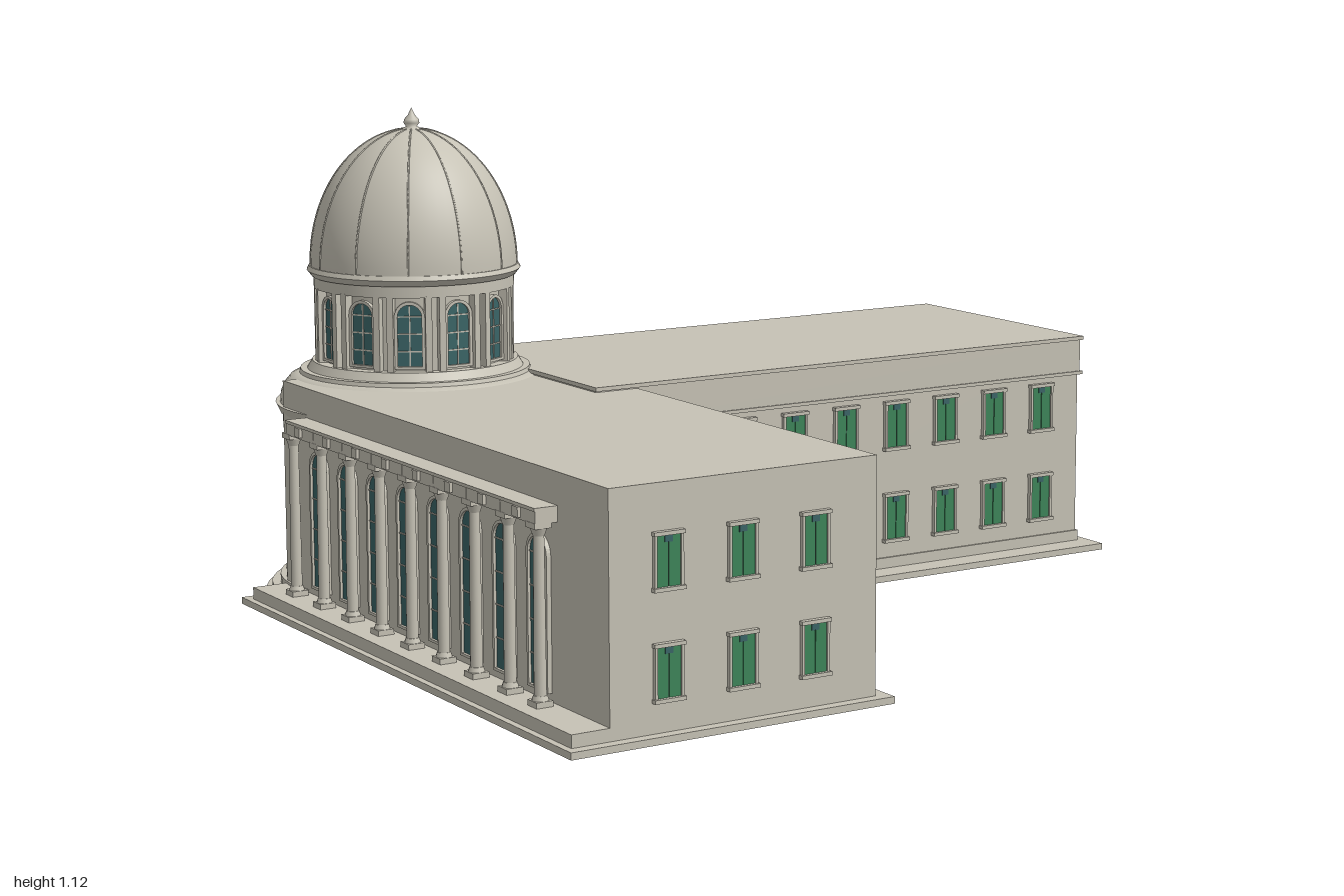
import * as THREE from 'three';

const mat = (name, color) => new THREE.MeshStandardMaterial({ name, color });

export function createModel() {
  const stone = mat('stone', 0xc6c2b5);
  const glass = mat('teal glass', 0x3a6466);
  const green = mat('green shutter', 0x3d8459);
  const dark = mat('dark vent', 0x3b4444);
  const model = new THREE.Group();
  model.name = 'domedCornerBuilding';

  const add = (parent, name, geo, m = stone, x = 0, y = 0, z = 0) => {
    const mesh = new THREE.Mesh(geo, m);
    mesh.name = name;
    mesh.position.set(x, y, z);
    parent.add(mesh);
    return mesh;
  };
  // Box given by its limits on each axis
  const block = (parent, name, x0, x1, y0, y1, z0, z1, m = stone) =>
    add(parent, name, new THREE.BoxGeometry(x1 - x0, y1 - y0, z1 - z0), m,
      (x0 + x1) / 2, (y0 + y1) / 2, (z0 + z1) / 2);
  const place = (obj, x, y, z, angle, parent = model) => {
    obj.position.set(x, y, z);
    obj.rotation.y = angle;
    parent.add(obj);
  };

  // Outline of a round-headed opening standing on y = 0
  const arch = (path, w, h) => {
    const r = w / 2;
    path.moveTo(-r, 0);
    path.lineTo(r, 0);
    path.lineTo(r, h - r);
    path.absarc(0, h - r, r, 0, Math.PI, false);
    path.lineTo(-r, 0);
    return path;
  };
  const extrude = (shape, depth) =>
    new THREE.ExtrudeGeometry(shape, { depth, bevelEnabled: false, curveSegments: 8 });

  // Arched window facing +z
  const archedWindow = (w, h, bars) => {
    const g = new THREE.Group();
    g.name = 'archedWindow';
    const f = 0.007;
    add(g, 'pane', extrude(arch(new THREE.Shape(), w, h), 0.005), glass);
    const frame = arch(new THREE.Shape(), w + 2 * f, h + f);
    const hole = new THREE.Path();
    const r = w / 2;
    hole.moveTo(-r, 0.006);
    hole.lineTo(r, 0.006);
    hole.lineTo(r, h - r);
    hole.absarc(0, h - r, r, 0, Math.PI, false);
    hole.lineTo(-r, 0.006);
    frame.holes.push(hole);
    add(g, 'frame', extrude(frame, 0.011), stone);
    block(g, 'mullion', -0.0015, 0.0015, 0, h - 0.003, 0, 0.007);
    for (let i = 1; i <= bars; i++) {
      const y = (h - r) * i / bars;
      block(g, 'glazingBar', -r, r, y - 0.0015, y + 0.0015, 0, 0.007);
    }
    return g;
  };

  // Shuttered rectangular window facing +z, with sill and lintel
  const shutteredWindow = () => {
    const g = new THREE.Group();
    g.name = 'shutteredWindow';
    for (const s of [-1, 1]) {
      block(g, 'shutter', s * 0.014 - 0.013, s * 0.014 + 0.013, 0, 0.105, 0, 0.006, green);
      block(g, 'jamb', s * 0.03 - 0.003, s * 0.03 + 0.003, 0, 0.105, 0, 0.01);
    }
    block(g, 'gap', -0.002, 0.002, 0, 0.105, 0, 0.004, dark);
    block(g, 'transom', -0.009, 0.009, 0.088, 0.101, 0, 0.008, glass);
    block(g, 'sill', -0.036, 0.036, -0.008, 0, 0, 0.014);
    block(g, 'lintel', -0.035, 0.035, 0.102, 0.11, 0, 0.013);
    return g;
  };

  // Column with square base and capital
  const column = (h, r) => {
    const g = new THREE.Group();
    g.name = 'column';
    const c = r * 1.45;
    block(g, 'base', -c, c, 0, 0.012, -c, c);
    add(g, 'baseRing', new THREE.CylinderGeometry(r * 1.1, r * 1.35, 0.01, 14), stone, 0, 0.017);
    add(g, 'shaft', new THREE.CylinderGeometry(r * 0.85, r, h - 0.02, 14), stone, 0, h / 2);
    add(g, 'capitalBell', new THREE.CylinderGeometry(r * 1.35, r * 0.9, 0.016, 14), stone, 0, h - 0.02);
    block(g, 'capital', -c, c, h - 0.012, h, -c, c);
    return g;
  };

  // Ground slabs
  block(model, 'westGroundSlab', -1, -0.25, 0, 0.015, -0.62, 0.89);
  block(model, 'eastGroundSlab', -0.4, 1, 0, 0.015, -0.8, 0);

  // Front wing
  block(model, 'westWing', -0.9, -0.28, 0.01, 0.51, -0.59, 0.865);
  block(model, 'westPodium', -0.985, -0.9, 0.01, 0.042, -0.59, 0.865);

  // Side wing with base course, attic band and roof edge
  block(model, 'eastWing', -0.385, 0.97, 0.01, 0.515, -0.705, -0.07);
  block(model, 'baseCourse', -0.28, 0.975, 0.01, 0.04, -0.71, -0.065);
  block(model, 'eastPodium', -0.36, 0.98, 0.01, 0.042, -0.79, -0.7);
  block(model, 'atticBand', -0.387, 0.974, 0.43, 0.515, -0.708, -0.066);
  block(model, 'atticMoulding', -0.38, 0.98, 0.428, 0.436, -0.712, -0.062);
  block(model, 'eastRoof', -0.39, 0.98, 0.513, 0.522, -0.712, -0.06);

  // Two rows of shuttered windows
  for (const y of [0.085, 0.305]) {
    for (let i = 0; i < 8; i++) place(shutteredWindow(), -0.145 + i * 0.143, y, -0.07, 0);
    for (const x of [-0.77, -0.6, -0.43]) place(shutteredWindow(), x, y, 0.864, 0);
  }

  // Back colonnade of the side wing
  const bay = 1.18 / 9;
  for (let i = 0; i <= 9; i++) {
    const x = -0.205 + i * bay;
    place(column(0.37, 0.013), Math.min(x, 0.95), 0.042, -0.732, 0);
    if (i === 9) break;
    const mid = x + bay / 2;
    place(archedWindow(0.068, 0.31, 4), mid, 0.06, -0.704, Math.PI);
    block(model, 'ventFrame', mid - 0.034, mid + 0.034, 0.458, 0.492, -0.714, -0.7);
    block(model, 'vent', mid - 0.028, mid + 0.028, 0.464, 0.486, -0.717, -0.71, dark);
    block(model, 'keyBlock', mid - 0.012, mid + 0.012, 0.415, 0.436, -0.757, -0.75);
  }
  block(model, 'eastEntablature', -0.215, 0.97, 0.41, 0.435, -0.75, -0.7);
  block(model, 'eastEntablatureCap', -0.22, 0.975, 0.433, 0.443, -0.756, -0.7);

  // Colonnade of the front wing
  const step = 1.14 / 8;
  for (let i = 0; i <= 8; i++) {
    const z = -0.47 + i * step;
    place(column(0.37, 0.013), -0.932, 0.042, Math.min(z, 0.65), 0);
    if (i === 8) break;
    const mid = z + step / 2;
    place(archedWindow(0.07, 0.31, 4), -0.899, 0.06, mid, -Math.PI / 2);
    block(model, 'westEntablature', -0.95, -0.89, 0.41, 0.438, z + 0.001, z + step - 0.001);
    block(model, 'keyBlock', -0.957, -0.95, 0.415, 0.436, mid - 0.012, mid + 0.012);
  }
  block(model, 'westEntablatureCap', -0.952, -0.89, 0.436, 0.443, -0.47, 0.67);

  // Corner rotunda, turned about the dome axis
  const rotunda = new THREE.Group();
  rotunda.name = 'rotunda';
  place(rotunda, -0.59, 0, -0.54, 0);
  const ring = (name, r0, r1, y0, y1) =>
    add(rotunda, name, new THREE.CylinderGeometry(r1, r0, y1 - y0, 64), stone, 0, (y0 + y1) / 2);
  ring('lowerStep', 0.35, 0.35, 0, 0.015);
  ring('middleStep', 0.337, 0.337, 0.01, 0.03);
  ring('upperStep', 0.318, 0.318, 0.02, 0.048);
  ring('rotundaWall', 0.26, 0.26, 0.03, 0.43);
  ring('rotundaEntablature', 0.304, 0.304, 0.405, 0.43);
  ring('rotundaCornice', 0.31, 0.32, 0.428, 0.45);
  const roofProfile = [[0.31, 0.448], [0.308, 0.47], [0.3, 0.49], [0.286, 0.507], [0.265, 0.517], [0.2, 0.52]];
  add(rotunda, 'rotundaRoof', new THREE.LatheGeometry(roofProfile.map(p => new THREE.Vector2(...p)), 64), stone);
  const around = (obj, a, r, y) => place(obj, Math.sin(a) * r, y, Math.cos(a) * r, a, rotunda);
  const turn = THREE.MathUtils.degToRad(22);
  for (let k = -2; k <= 3; k++) around(archedWindow(0.064, 0.31, 4), Math.PI + k * turn, 0.257, 0.055);
  for (let k = -2.5; k <= 3.5; k++) around(column(0.36, 0.013), Math.PI + k * turn, 0.287, 0.047);

  // Round medallion over the entrance
  const medallion = new THREE.Group();
  medallion.name = 'medallion';
  block(medallion, 'medallionBlock', -0.04, 0.04, 0.45, 0.54, -0.035, 0);
  block(medallion, 'medallionCap', -0.044, 0.044, 0.538, 0.55, -0.035, 0.005);
  add(medallion, 'medallionRing', new THREE.TorusGeometry(0.028, 0.004, 8, 28), stone, 0, 0.497, 0.002);
  add(medallion, 'medallionFace', new THREE.CircleGeometry(0.026, 28), glass, 0, 0.497, 0.002);
  add(medallion, 'medallionBoss', new THREE.CircleGeometry(0.018, 24), stone, 0, 0.497, 0.003);
  around(medallion, Math.PI, 0.325, 0);

  // Drum with twelve windows and paired pilasters
  ring('drumFoot', 0.267, 0.262, 0.51, 0.526);
  ring('drumPlinth', 0.25, 0.235, 0.52, 0.545);
  ring('drumWall', 0.208, 0.208, 0.53, 0.75);
  ring('drumFrieze', 0.228, 0.228, 0.712, 0.74);
  ring('drumCornice', 0.232, 0.243, 0.738, 0.752);
  ring('domeSpring', 0.243, 0.238, 0.752, 0.762);
  for (let i = 0; i < 12; i++) {
    const a = i * Math.PI / 6;
    around(archedWindow(0.054, 0.145, 3), a, 0.2055, 0.55);
    for (const s of [-0.07, 0.07]) {
      const p = new THREE.Group();
      p.name = 'pilaster';
      add(p, 'pilasterShaft', new THREE.BoxGeometry(0.015, 0.175, 0.022), stone, 0, 0.0875);
      around(p, a + Math.PI / 12 + s, 0.217, 0.54);
    }
  }

  // Dome with thin ribs and a finial
  const domePoint = (t, lift) => new THREE.Vector2(
    (0.235 + lift) * Math.cos(t * Math.PI / 2), 0.76 + (0.31 + lift) * Math.sin(t * Math.PI / 2));
  const domeProfile = Array.from({ length: 25 }, (_, i) => domePoint(i / 24, 0));
  domeProfile[24].x = 0;
  add(rotunda, 'dome', new THREE.LatheGeometry(domeProfile, 64), stone);
  const ribPath = new THREE.CatmullRomCurve3(Array.from({ length: 13 }, (_, i) => {
    const p = domePoint(i / 12.4, 0);
    return new THREE.Vector3(0, p.y, p.x);
  }));
  const ribGeo = new THREE.TubeGeometry(ribPath, 28, 0.0022, 5);
  for (let i = 0; i < 12; i++) add(rotunda, 'domeRib', ribGeo).rotation.y = i * Math.PI / 6;
  const finial = [[0.028, 1.06], [0.022, 1.07], [0.012, 1.074], [0.018, 1.082], [0.017, 1.09], [0.008, 1.1], [0, 1.117]];
  add(rotunda, 'finial', new THREE.LatheGeometry(finial.map(p => new THREE.Vector2(...p)), 20), stone);

  return model;
}
